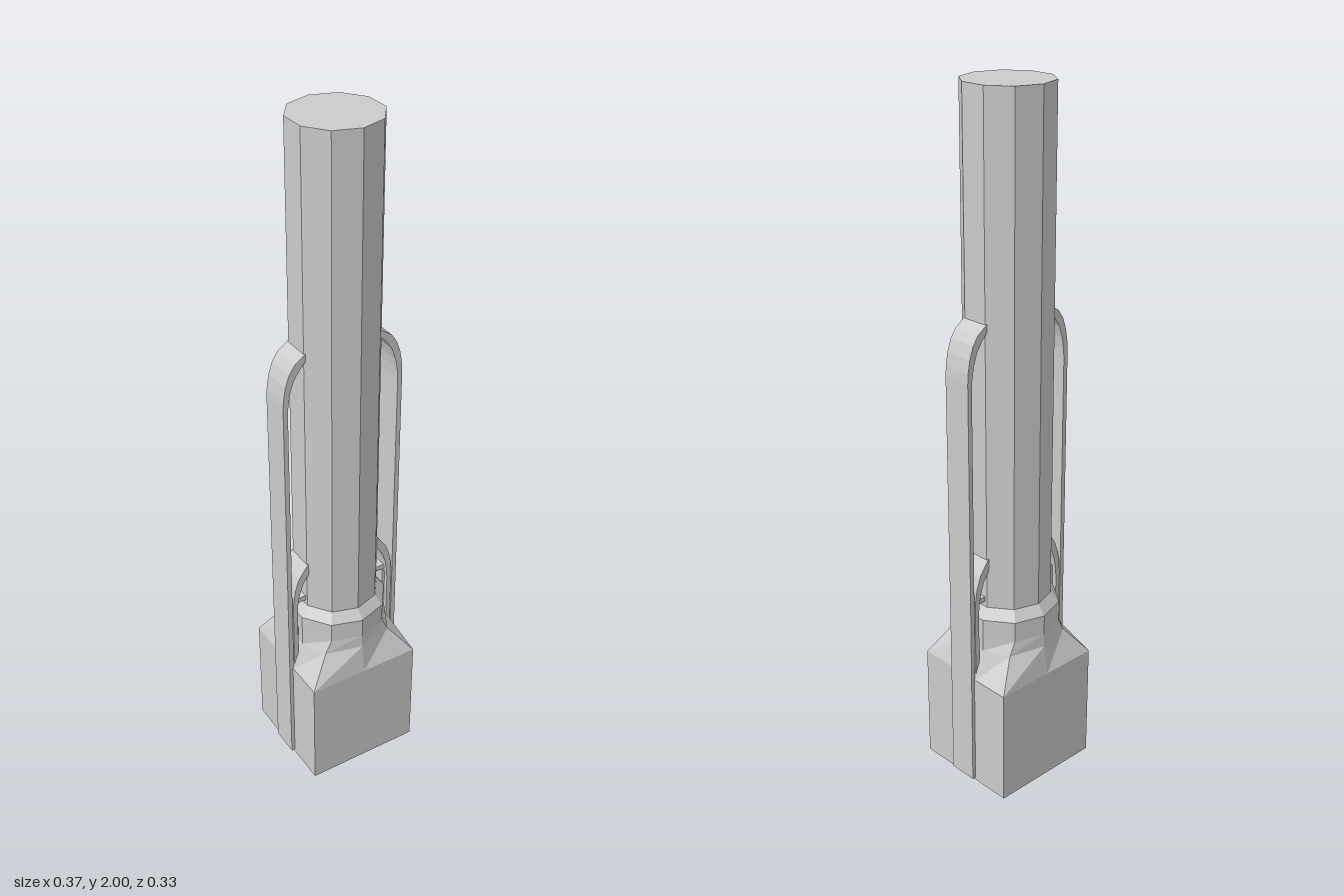
import * as THREE from 'three';

const material = new THREE.MeshStandardMaterial({ color: 0xcccccc, flatShading: true, side: THREE.DoubleSide });

function add(parent, name, geometry) {
  const mesh = new THREE.Mesh(geometry, material);
  mesh.name = name;
  parent.add(mesh);
  return mesh;
}

// Skin through rings of equal point count, listed bottom to top
function loft(rings) {
  const n = rings[0].length, index = [];
  for (let r = 0; r < rings.length - 1; r++) {
    for (let i = 0; i < n; i++) {
      const a = r * n + i, b = r * n + (i + 1) % n;
      index.push(a, b, b + n, a, b + n, a + n);
    }
  }
  const geometry = new THREE.BufferGeometry();
  geometry.setAttribute('position', new THREE.Float32BufferAttribute(rings.flat(2), 3));
  geometry.setIndex(index);
  const flat = geometry.toNonIndexed();
  flat.computeVertexNormals();
  return flat;
}

// Ten-point ring, defined by its front, corner and side points
function ring(y, front, [cx, cz], [sx, sz]) {
  return [[0, y, front], [cx, y, cz], [sx, y, sz], [sx, y, -sz], [cx, y, -cz],
    [0, y, -front], [-cx, y, -cz], [-sx, y, -sz], [-sx, y, sz], [-cx, y, cz]];
}

function decagon(y, r) {
  const at = (k) => [r * Math.sin(k * Math.PI / 5), r * Math.cos(k * Math.PI / 5)];
  return ring(y, r, at(1), at(2));
}

// Flat strap rising at x and hooking in to the shaft at the top
function strap(x, bottom, top, width) {
  const bend = [[0, -0.15], [-0.002, -0.12], [-0.008, -0.085], [-0.02, -0.05], [-0.037, -0.025], [x > 0.175 ? -0.073 : -0.056, 0]];
  const outer = [[x, bottom], ...bend.map(([dx, dy]) => [x + dx, top + dy])];
  const inner = outer.map(([px, py], i) => [px - (i === outer.length - 1 ? 0 : 0.014), i ? py - 0.02 : py]).reverse();
  const shape = new THREE.Shape([...outer, ...inner].map(([px, py]) => new THREE.Vector2(px, py)));
  return new THREE.ExtrudeGeometry(shape, { depth: width, bevelEnabled: false }).translate(0, 0, -width / 2);
}

export function createModel() {
  const model = new THREE.Group();
  model.name = 'shaftOnBlock';

  // Square base block
  add(model, 'base', new THREE.BoxGeometry(0.346, 0.35, 0.326).translate(0, 0.175, 0));

  // Sloping shoulder that turns the square into a ten-sided neck and collar
  add(model, 'shoulderAndCollar', loft([
    ring(0.35, 0.163, [0.173, 0.163], [0.173, 0.046]),
    ring(0.435, 0.149, [0.107, 0.12], [0.141, 0.046]),
    decagon(0.475, 0.148),
    decagon(0.535, 0.148),
    decagon(0.565, 0.124),
  ]));

  // Ten-sided shaft
  add(model, 'shaft', new THREE.CylinderGeometry(0.124, 0.124, 1.55, 10).translate(0, 1.225, 0));

  // Tall and short straps with a small bracket, on each side
  for (const side of [1, -1]) {
    const straps = new THREE.Group();
    straps.name = side > 0 ? 'leftStraps' : 'rightStraps';
    add(straps, 'tallStrap', strap(0.184, 0.008, 1.405, 0.086));
    add(straps, 'shortStrap', strap(0.167, 0.3, 0.725, 0.086));
    add(straps, 'bracketBar', new THREE.BoxGeometry(0.05, 0.016, 0.06).translate(0.135, 0.588, 0));
    add(straps, 'bracketPost', new THREE.BoxGeometry(0.01, 0.17, 0.06).translate(0.15, 0.511, 0));
    if (side < 0) straps.rotation.y = Math.PI;
    model.add(straps);
  }
  return model;
}
